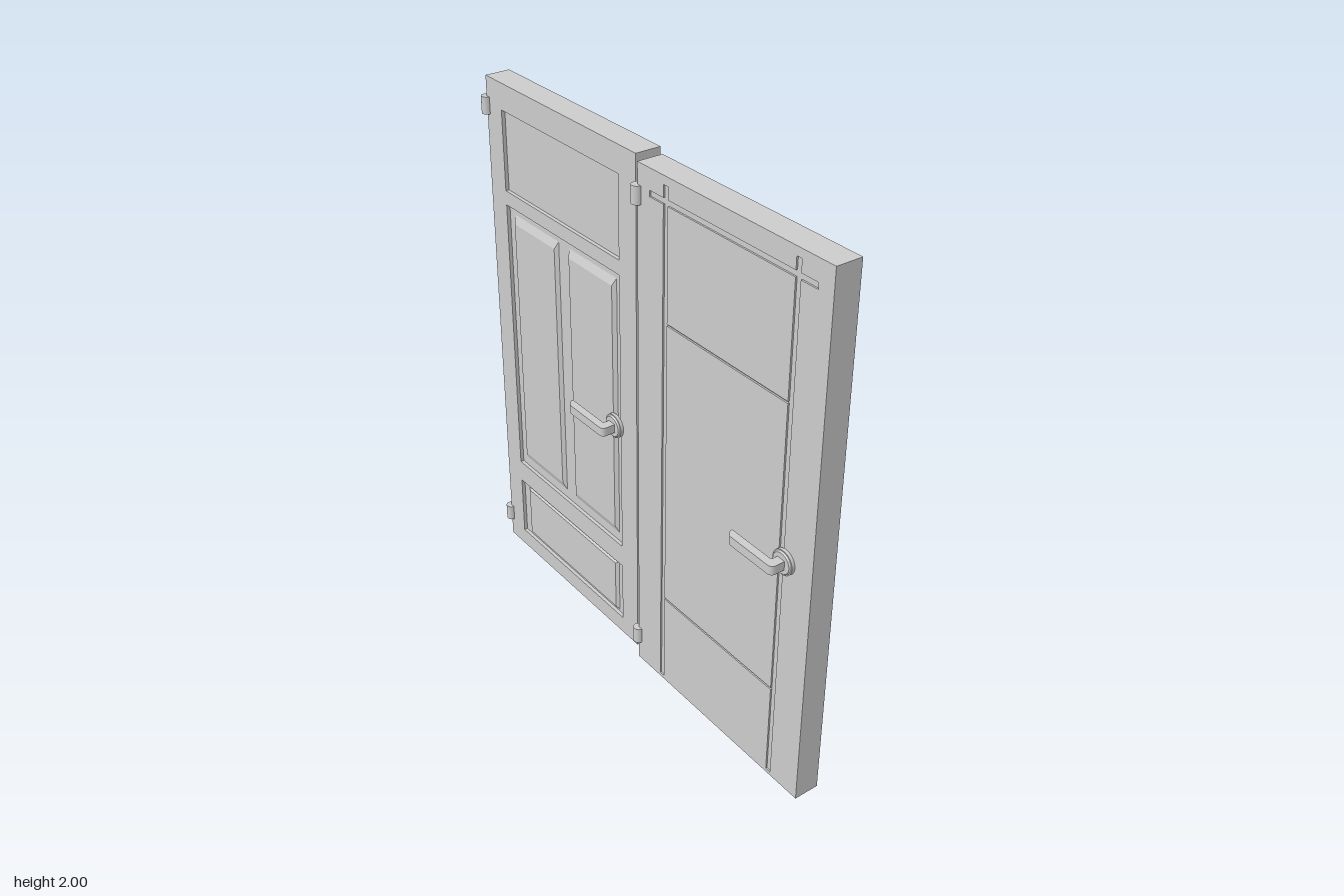
import * as THREE from 'three';

const W = 0.896, H = 2, T = 0.097;
const material = new THREE.MeshStandardMaterial({ color: 0xcccccc, flatShading: true });
const smooth = new THREE.MeshStandardMaterial({ color: 0xcccccc });

function add(parent, name, geometry, x = 0, y = 0, z = 0, mat = material) {
  const mesh = new THREE.Mesh(geometry, mat);
  mesh.name = name;
  mesh.position.set(x, y, z);
  parent.add(mesh);
  return mesh;
}

const polygon = (points) => points.map(([x, y]) => new THREE.Vector2(x, y));
const rect = (x0, x1, y0, y1) => polygon([[x0, y0], [x1, y0], [x1, y1], [x0, y1]]);

// Plate in the xy plane with cut-outs
function plate(outline, holes, depth) {
  const shape = new THREE.Shape(outline);
  for (const hole of holes) shape.holes.push(new THREE.Path(hole));
  return new THREE.ExtrudeGeometry(shape, { depth, bevelEnabled: false });
}

// Box whose front face is inset, giving sloped edges
function raisedField(w, h, d, insetX, insetY) {
  const g = new THREE.BoxGeometry(w, h, d).translate(0, 0, d / 2);
  const p = g.attributes.position;
  for (let i = 0; i < p.count; i++) {
    if (p.getZ(i) < d / 2) continue;
    p.setX(i, p.getX(i) - Math.sign(p.getX(i)) * insetX);
    p.setY(i, p.getY(i) - Math.sign(p.getY(i)) * insetY);
  }
  g.computeVertexNormals();
  return g;
}

// One side of the panelled door, lying on z = 0
function panelledFace(depth) {
  const face = new THREE.Group();
  const recesses = [[1.595, 1.9], [0.413, 1.54], [0.07, 0.322]]
    .map(([y0, y1]) => rect(-0.352, 0.352, y0, y1));
  add(face, 'panelFrame', plate(rect(-W / 2, W / 2, 0, H), recesses, depth));
  for (const x of [-0.175, 0.175])
    add(face, 'middlePanel', raisedField(0.285, 1.06, depth * 0.85, 0.013, 0.03), x, 0.98, 0);
  add(face, 'lowerPanel', raisedField(0.625, 0.23, depth * 0.7, 0.012, 0.01), 0, 0.195, 0);
  return face;
}

// One side of the grooved door: channels left between thin boards
function groovedFace(depth) {
  const face = new THREE.Group();
  const xi = 0.292, xo = 0.314, xe = 0.385; // inner and outer channel edge, crossbar end
  const [b, t, c0, c1] = [0.015, 1.97, 1.905, 1.926];
  const [s0, s1, s2, s3] = [0.379, 0.386, 1.494, 1.501]; // thin horizontal seams
  const half = [[xi, s0], [xi, b], [xo, b], [xo, c0], [xe, c0], [xe, c1], [xo, c1], [xo, t], [xi, t], [xi, c1]];
  const outline = polygon([...half, ...half.map(([x, y]) => [-x, y]).reverse()]);
  add(face, 'groovedBoard', plate(rect(-W / 2, W / 2, 0, H), [outline], depth));
  add(face, 'centreBoard', plate(rect(-xi, xi, s1, s2), [], depth));
  add(face, 'upperBoard', plate(rect(-xi, xi, s3, c0), [], depth));
  return face;
}

// Rosette, neck and flat lever pointing to -x, mounted on z = 0
function leverHandle() {
  const handle = new THREE.Group();
  handle.name = 'leverHandle';
  const disc = (r0, r1, h) => new THREE.CylinderGeometry(r0, r1, h, 32).rotateX(Math.PI / 2);
  add(handle, 'rosette', disc(0.046, 0.046, 0.012), 0, 0, 0.006, smooth);
  add(handle, 'rosetteRim', disc(0.038, 0.042, 0.006), 0, 0, 0.015, smooth);
  const s = new THREE.Shape();
  s.moveTo(0.017, 0.012);
  s.lineTo(0.017, 0.052);
  s.quadraticCurveTo(0.017, 0.072, -0.003, 0.072);
  s.lineTo(-0.185, 0.072);
  s.lineTo(-0.207, 0.053);
  s.lineTo(-0.207, 0.043);
  s.lineTo(-0.024, 0.043);
  s.quadraticCurveTo(-0.017, 0.043, -0.017, 0.036);
  s.lineTo(-0.017, 0.012);
  const lever = new THREE.ExtrudeGeometry(s, { depth: 0.034, bevelEnabled: false, curveSegments: 6 });
  lever.translate(0, 0, -0.017).rotateX(Math.PI / 2);
  add(handle, 'lever', lever);
  return handle;
}

function makeDoor(name, makeFace, depth) {
  const door = new THREE.Group();
  door.name = name;
  add(door, 'core', new THREE.BoxGeometry(W, H, T - 2 * depth), 0, H / 2, 0);
  for (const side of [1, -1]) {
    const face = makeFace(depth);
    face.name = side > 0 ? 'frontFace' : 'backFace';
    face.position.z = side * (T / 2 - depth);
    face.rotation.y = side > 0 ? 0 : Math.PI;
    door.add(face);

    const handle = leverHandle();
    handle.position.set(0.323, 0.936, side * T / 2);
    handle.rotation.x = side > 0 ? 0 : Math.PI;
    door.add(handle);
  }
  // Hinge knuckles on the front corner
  for (const y of [0.112, 1.893])
    add(door, 'hinge', new THREE.CylinderGeometry(0.02, 0.02, 0.064, 20), -W / 2 - 0.002, y, T / 2, smooth);
  return door;
}

export function createModel() {
  const model = new THREE.Group();
  model.name = 'doorPair';
  const panelled = makeDoor('panelledDoor', panelledFace, 0.014);
  panelled.position.set(-0.467, 0, -0.018);
  const grooved = makeDoor('groovedDoor', groovedFace, 0.006);
  grooved.position.set(0.483, 0, 0.015);
  model.add(panelled, grooved);
  return model;
}
